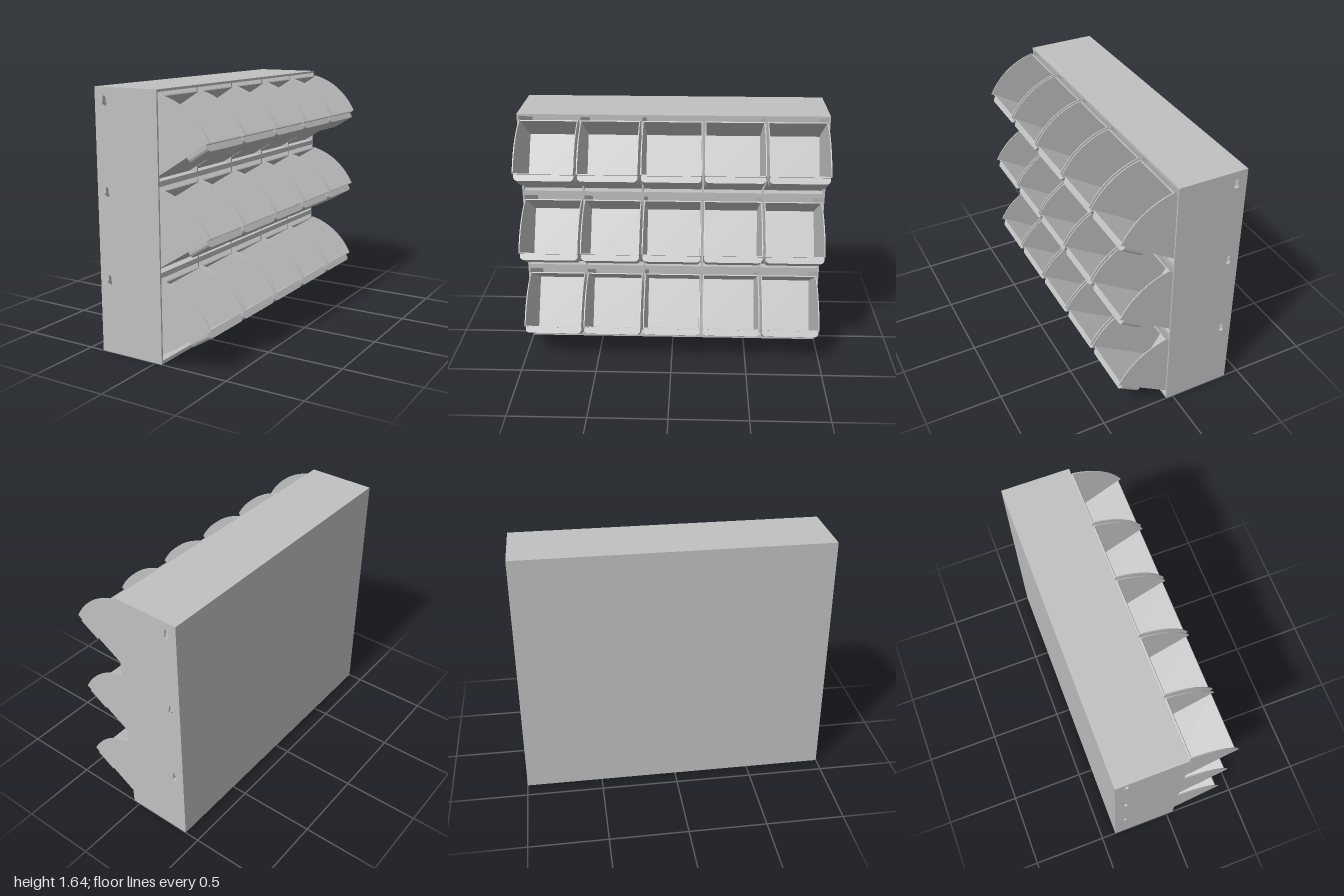
import * as THREE from 'three';
import { toCreasedNormals } from 'three/addons/utils/BufferGeometryUtils.js';

const ROWS = 3, COLS = 5;
const ROW_PITCH = 0.546, COL_PITCH = 0.396;
const HEIGHT = 1.64, BACK = -0.4, FRONT = 0.048;
const BIN_W = 0.38, WALL = 0.007;
const TILT = 32 * Math.PI / 180;

const plastic = new THREE.MeshStandardMaterial({ color: 0xc0c0c0 });
plastic.name = 'light grey plastic';

function mesh(name, geometry, parent, x = 0, y = 0, z = 0) {
  const m = new THREE.Mesh(geometry, plastic);
  m.name = name;
  m.position.set(x, y, z);
  parent.add(m);
  return m;
}

// Box given by its extents
function slab(name, parent, x0, x1, y0, y1, z0, z1) {
  return mesh(name, new THREE.BoxGeometry(x1 - x0, y1 - y0, z1 - z0), parent,
    (x0 + x1) / 2, (y0 + y1) / 2, (z0 + z1) / 2);
}

// Keyhole slot: round hole with a narrow neck above
function keyhole(x, y) {
  const p = new THREE.Path();
  const r = 0.016, n = 0.01, a = Math.acos(n / r);
  p.absarc(x, y, r, Math.PI - a, 2 * Math.PI + a, false);
  p.lineTo(x + n, y + 0.036);
  p.absarc(x, y + 0.036, n, 0, Math.PI, false);
  p.closePath();
  return p;
}

function buildCabinet() {
  const cabinet = new THREE.Group();
  cabinet.name = 'cabinet';
  const t = 0.012;

  // End panels with keyholes
  const side = new THREE.Shape();
  side.moveTo(BACK, 0);
  side.lineTo(FRONT, 0);
  side.lineTo(FRONT, HEIGHT);
  side.lineTo(BACK, HEIGHT);
  side.closePath();
  for (let r = 0; r < ROWS; r++) side.holes.push(keyhole(-0.33, 0.452 + r * ROW_PITCH));
  const sideGeo = new THREE.ExtrudeGeometry(side, { depth: t, bevelEnabled: false, curveSegments: 10 });
  mesh('endPanel', sideGeo, cabinet, 0, 0, 1 - t);
  mesh('endPanel', sideGeo, cabinet, 0, 0, -1);

  slab('backPanel', cabinet, BACK, BACK + t, 0, HEIGHT, -1 + t, 1 - t);
  slab('topPanel', cabinet, BACK + t, FRONT, HEIGHT - 0.015, HEIGHT, -1 + t, 1 - t);
  slab('bottomPanel', cabinet, BACK + t, FRONT, 0, 0.022, -1 + t, 1 - t);
  for (let r = 1; r < ROWS; r++) {
    const y = r * ROW_PITCH;
    slab('shelf', cabinet, BACK + t, FRONT, y - 0.01, y + 0.022, -1 + t, 1 - t);
  }
  for (let c = 1; c < COLS; c++) {
    const z = (c - COLS / 2) * COL_PITCH;
    slab('divider', cabinet, BACK + t, FRONT, 0.02, HEIGHT - 0.01, z - 0.005, z + 0.005);
  }
  return cabinet;
}

// Bin side: straight base and back, curved open edge (local x runs up the front wall)
function binSideGeometry() {
  const s = new THREE.Shape();
  s.moveTo(0, 0);
  s.lineTo(0.498, 0);
  s.absarc(0.032, 0.041, 0.468, -0.088, 0.807, false);
  s.lineTo(0, 0.379);
  s.closePath();
  const g = new THREE.ExtrudeGeometry(s, { depth: WALL, bevelEnabled: false, curveSegments: 24 });
  return toCreasedNormals(g, 0.5);
}

// Finger grip: bar with rounded ends, swept up the front wall
function gripGeometry() {
  const w = BIN_W / 2 - 0.003, d = 0.039, r = 0.026;
  const s = new THREE.Shape();
  s.moveTo(-w, 0);
  s.lineTo(-w, -d + r);
  s.absarc(-w + r, -d + r, r, Math.PI, 1.5 * Math.PI, false);
  s.lineTo(w - r, -d);
  s.absarc(w - r, -d + r, r, 1.5 * Math.PI, 2 * Math.PI, false);
  s.lineTo(w, 0);
  s.closePath();
  const g = new THREE.ExtrudeGeometry(s, { depth: 0.146, bevelEnabled: false, curveSegments: 8 });
  g.rotateY(Math.PI / 2);
  return toCreasedNormals(g, 0.6);
}

function buildBin(sideGeo, gripGeo) {
  const bin = new THREE.Group();
  bin.name = 'tiltBin';
  const h = BIN_W / 2, i = h - WALL;
  mesh('binSide', sideGeo, bin, 0, 0, h - WALL);
  mesh('binSide', sideGeo, bin, 0, 0, -h);
  slab('binFront', bin, 0, 0.478, 0, WALL, -i, i);
  slab('binFloor', bin, 0, WALL, WALL, 0.379 - WALL, -i, i);
  slab('binBack', bin, 0, 0.352, 0.379 - WALL, 0.379, -i, i);
  mesh('grip', gripGeo, bin, 0.319, 0, 0);
  bin.rotation.z = TILT;
  return bin;
}

export function createModel() {
  const model = new THREE.Group();
  model.name = 'tiltBinCabinet';
  model.add(buildCabinet());

  // Grid of opened bins
  const sideGeo = binSideGeometry(), gripGeo = gripGeometry();
  for (let r = 0; r < ROWS; r++) {
    for (let c = 0; c < COLS; c++) {
      const bin = buildBin(sideGeo, gripGeo);
      bin.position.set(-0.035, 0.006 + r * ROW_PITCH, (c - (COLS - 1) / 2) * COL_PITCH);
      model.add(bin);
    }
  }
  return model;
}
